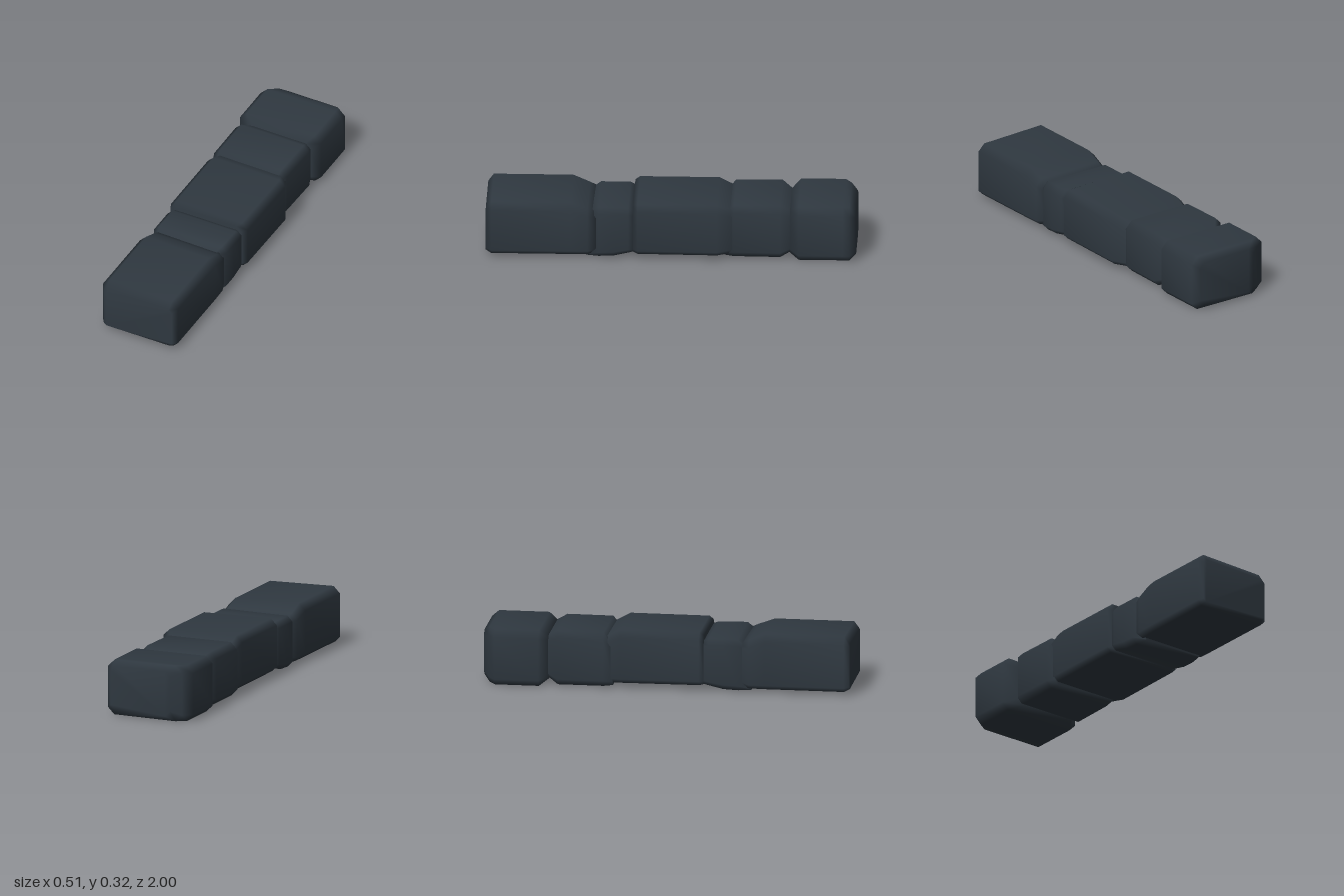
import * as THREE from 'three';

// Eight-sided section: z, left x, right x, bottom y, top y at left, top y at right, top corner cut, bottom corner cut
function ring([z, x0, x1, y0, yl, yr, ct, cb]) {
  return [
    [x0 + cb, y0, z], [x1 - cb, y0, z],
    [x1, y0 + cb, z], [x1, yr - ct, z],
    [x1 - ct, yr, z], [x0 + ct, yl, z],
    [x0, yl - ct, z], [x0, y0 + cb, z],
  ];
}

// Skins the sections from front to back and closes both ends
function blockGeometry(sections) {
  const rings = sections.map(ring);
  const positions = rings.flat(2);
  const index = [];
  const n = 8, last = (rings.length - 1) * n;
  for (let i = 0; i < rings.length - 1; i++) {
    for (let j = 0; j < n; j++) {
      const k = (j + 1) % n;
      const a = i * n + j, b = i * n + k, c = a + n, d = b + n;
      index.push(a, c, b, c, d, b);
    }
  }
  for (let j = 1; j < n - 1; j++) {
    index.push(0, j, j + 1);
    index.push(last, last + j + 1, last + j);
  }
  const geometry = new THREE.BufferGeometry();
  geometry.setAttribute('position', new THREE.Float32BufferAttribute(positions, 3));
  geometry.setIndex(index);
  geometry.computeVertexNormals();
  return geometry;
}

const BLOCKS = {
  frontBlock: [
    [1.0, -0.2, 0.215, 0.035, 0.285, 0.275, 0.02, 0.015],
    [0.97, -0.22, 0.237, 0.02, 0.325, 0.313, 0.038, 0.025],
    [0.54, -0.22, 0.237, 0.02, 0.325, 0.313, 0.038, 0.025],
    [0.45, -0.215, 0.235, 0.02, 0.287, 0.28, 0.035, 0.025],
    [0.39, -0.195, 0.215, 0.04, 0.262, 0.255, 0.025, 0.02],
  ],
  frontLink: [
    [0.46, -0.18, 0.19, 0.006, 0.25, 0.25, 0.03, 0.008],
    [0.39, -0.215, 0.228, 0.006, 0.288, 0.288, 0.03, 0.03],
    [0.31, -0.215, 0.23, 0.01, 0.288, 0.288, 0.03, 0.03],
    [0.23, -0.215, 0.23, 0.03, 0.288, 0.285, 0.03, 0.025],
    [0.18, -0.2, 0.215, 0.04, 0.265, 0.265, 0.025, 0.02],
  ],
  middleBlock: [
    [0.205, -0.21, 0.22, 0.035, 0.305, 0.3, 0.03, 0.02],
    [0.18, -0.222, 0.247, 0.03, 0.32, 0.312, 0.035, 0.025],
    [-0.25, -0.222, 0.25, 0.028, 0.32, 0.312, 0.035, 0.025],
    [-0.34, -0.215, 0.205, 0.03, 0.275, 0.27, 0.03, 0.025],
    [-0.355, -0.2, 0.19, 0.045, 0.26, 0.255, 0.025, 0.02],
  ],
  rearLink: [
    [-0.29, -0.215, 0.195, 0.012, 0.25, 0.25, 0.03, 0.025],
    [-0.34, -0.232, 0.212, 0.007, 0.305, 0.302, 0.035, 0.035],
    [-0.59, -0.232, 0.217, 0.007, 0.307, 0.302, 0.035, 0.035],
    [-0.64, -0.19, 0.2, 0.035, 0.278, 0.275, 0.03, 0.025],
    [-0.67, -0.175, 0.185, 0.05, 0.265, 0.26, 0.03, 0.025],
  ],
  rearBlock: [
    [-0.64, -0.18, 0.195, 0.03, 0.275, 0.272, 0.03, 0.03],
    [-0.69, -0.257, 0.238, 0.0, 0.308, 0.305, 0.04, 0.037],
    [-0.93, -0.257, 0.238, 0.0, 0.308, 0.305, 0.04, 0.037],
    [-0.965, -0.205, 0.238, 0.0, 0.308, 0.305, 0.04, 0.037],
    [-1.0, -0.15, 0.205, 0.03, 0.28, 0.278, 0.03, 0.03],
  ],
};

export function createModel() {
  const group = new THREE.Group();
  group.name = 'stoneBlockRow';
  const slate = new THREE.MeshStandardMaterial({ color: 0x2f3840 });
  slate.name = 'dark slate';
  for (const [name, sections] of Object.entries(BLOCKS)) {
    const mesh = new THREE.Mesh(blockGeometry(sections), slate);
    mesh.name = name;
    group.add(mesh);
  }
  return group;
}
